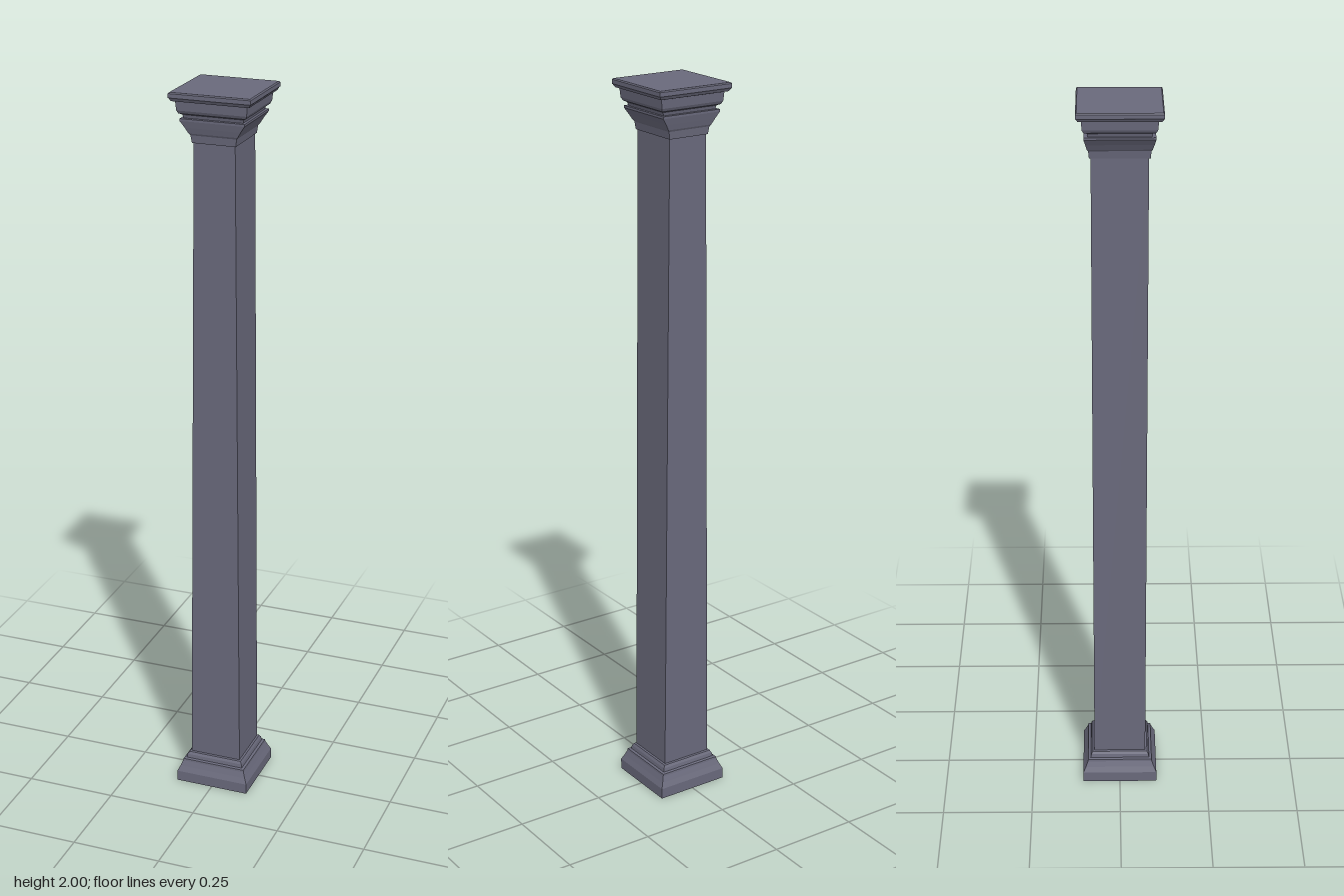
import * as THREE from 'three';

// Stack of rectangular sections [y, halfX, halfZ], bottom to top, closed at both ends
function loftRect(sections) {
  const pos = [];
  const ring = ([y, x, z]) => [[-x, y, z], [x, y, z], [x, y, -z], [-x, y, -z]];
  const quad = (a, b, c, d) => pos.push(...a, ...b, ...c, ...a, ...c, ...d);
  for (let i = 0; i < sections.length - 1; i++) {
    const lo = ring(sections[i]), hi = ring(sections[i + 1]);
    for (let k = 0; k < 4; k++) {
      const n = (k + 1) % 4;
      quad(lo[k], lo[n], hi[n], hi[k]);
    }
  }
  const b = ring(sections[0]), t = ring(sections[sections.length - 1]);
  quad(b[3], b[2], b[1], b[0]);
  quad(t[0], t[1], t[2], t[3]);
  const g = new THREE.BufferGeometry();
  g.setAttribute('position', new THREE.Float32BufferAttribute(pos, 3));
  g.computeVertexNormals();
  return g;
}

export function createModel() {
  const group = new THREE.Group();
  group.name = 'column';
  const stone = new THREE.MeshStandardMaterial({ color: 0x69697b });
  stone.name = 'slate stone';

  const add = (name, sections) => {
    const mesh = new THREE.Mesh(loftRect(sections), stone);
    mesh.name = name;
    group.add(mesh);
  };
  const square = ([y, h]) => [y, h, h];

  // Moulded foot
  add('base', [
    [0, 0.105], [0.03, 0.105], [0.045, 0.098], [0.06, 0.092], [0.066, 0.091],
    [0.068, 0.084], [0.078, 0.082], [0.085, 0.078], [0.087, 0.072],
  ].map(square));

  // Shaft narrows from side to side only
  add('shaft', [[0.08, 0.073, 0.073], [1.88, 0.056, 0.073]]);

  // Flared neck under the capital, steeper on the sides
  add('neck', [
    [1.868, 0.059, 0.077], [1.888, 0.062, 0.079], [1.893, 0.066, 0.082],
    [1.908, 0.075, 0.086], [1.925, 0.087, 0.09], [1.931, 0.087, 0.09],
  ]);

  // Stepped mouldings
  add('capital', [
    [1.928, 0.079], [1.94, 0.082], [1.944, 0.09], [1.952, 0.094],
    [1.975, 0.096], [1.979, 0.101],
  ].map(square));

  // Top slab with a small bevel
  add('abacus', [
    [1.977, 0.104], [1.984, 0.108], [1.986, 0.11], [1.997, 0.11], [2, 0.107],
  ].map(square));

  return group;
}
